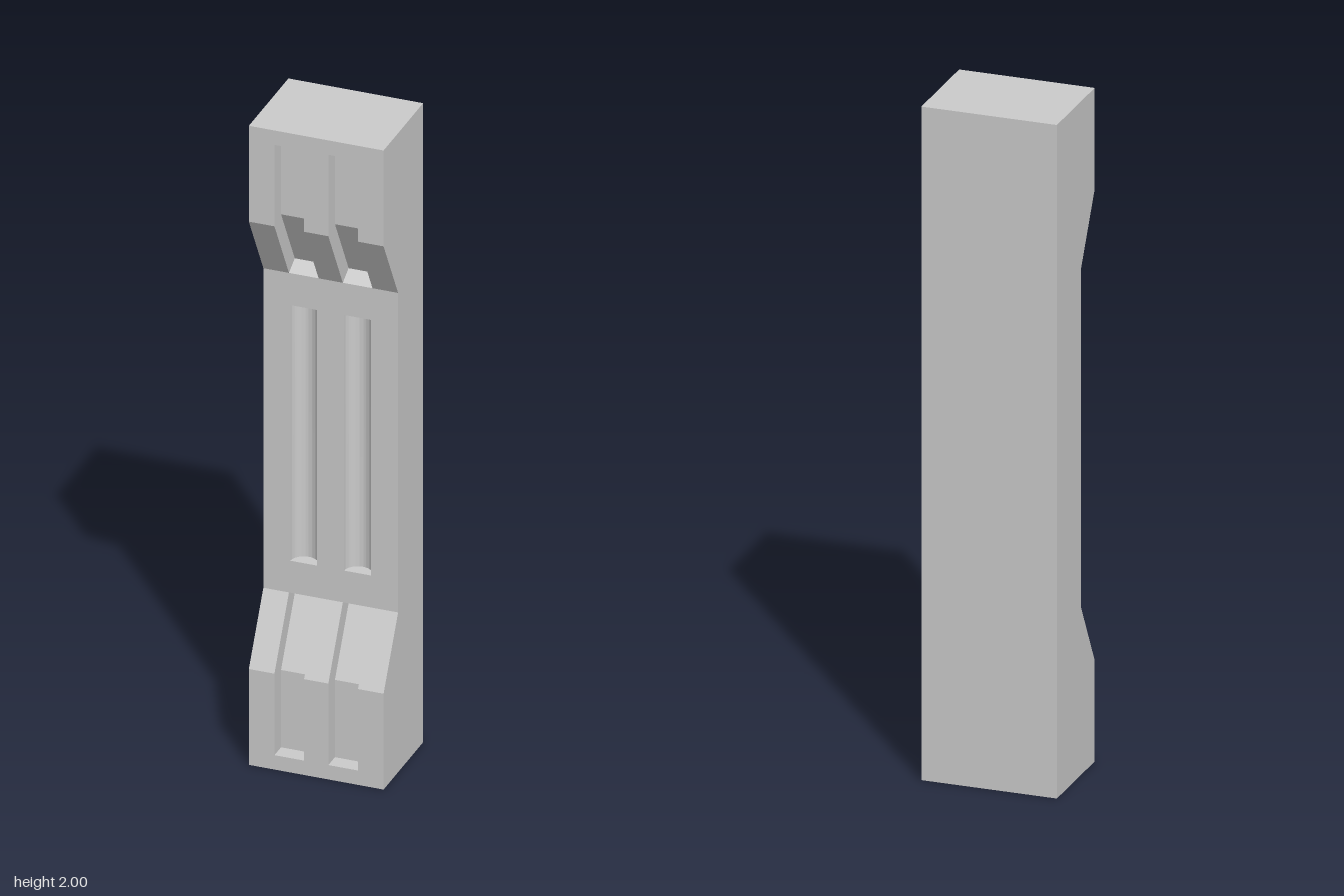
import * as THREE from 'three';
import { mergeGeometries, toCreasedNormals } from 'three/addons/utils/BufferGeometryUtils.js';

const HALF_W = 0.2, BACK = -0.15, FRONT = 0.15, MID_FRONT = 0.04;
const material = new THREE.MeshStandardMaterial({ color: 0xcccccc });

// Side profile given as [z, y] points, extruded across x from x0 to x1
function slab(profile, x0, x1) {
  const shape = new THREE.Shape(profile.map(([z, y]) => new THREE.Vector2(z, y)));
  return new THREE.ExtrudeGeometry(shape, { depth: x1 - x0, bevelEnabled: false })
    .rotateY(-Math.PI / 2).translate(x1, 0, 0);
}

// Plan shape (x, -z) extruded upwards from y0 to y1
function layer(shape, y0, y1) {
  return new THREE.ExtrudeGeometry(shape, { depth: y1 - y0, bevelEnabled: false, curveSegments: 16 })
    .rotateX(-Math.PI / 2).translate(0, y0, 0);
}

function part(name, geometries) {
  const mesh = new THREE.Mesh(toCreasedNormals(mergeGeometries(geometries), 0.5), material);
  mesh.name = name;
  return mesh;
}

// Rectangular plan, optionally with two half-round flutes cut into the front
function shaftPlan(fluted) {
  const s = new THREE.Shape();
  s.moveTo(-HALF_W, -BACK);
  s.lineTo(-HALF_W, -MID_FRONT);
  if (fluted) {
    for (const x of [-0.08, 0.08]) {
      s.lineTo(x - 0.04, -MID_FRONT);
      s.absarc(x, -MID_FRONT, 0.04, Math.PI, 0, true);
    }
  }
  s.lineTo(HALF_W, -MID_FRONT);
  s.lineTo(HALF_W, -BACK);
  return s;
}

// Base block: full-depth ribs alternating with recessed channels
function endBlock(name) {
  const rib = [[BACK, 0], [FRONT, 0], [FRONT, 0.3], [MID_FRONT, 0.5], [BACK, 0.5]];
  const channel = [
    [BACK, 0], [FRONT, 0], [FRONT, 0.045], [0.1, 0.045], [0.1, 0.287],
    [-0.004, 0.476], [MID_FRONT, 0.5], [BACK, 0.5],
  ];
  const cuts = [-HALF_W, -0.124, -0.036, 0.036, 0.124, HALF_W];
  const slabs = cuts.slice(1).map((x, i) => slab(i % 2 ? channel : rib, cuts[i], x));
  return part(name, slabs);
}

export function createModel() {
  const model = new THREE.Group();
  model.name = 'pillar';

  const base = endBlock('base');

  // Capital is the base turned upside down
  const capital = endBlock('capital');
  capital.rotation.z = Math.PI;
  capital.position.y = 2;

  // Shaft with flutes that stop short of both ends
  const shaft = part('shaft', [
    layer(shaftPlan(false), 0.5, 0.6),
    layer(shaftPlan(true), 0.6, 1.4),
    layer(shaftPlan(false), 1.4, 1.5),
  ]);

  model.add(base, shaft, capital);
  return model;
}
